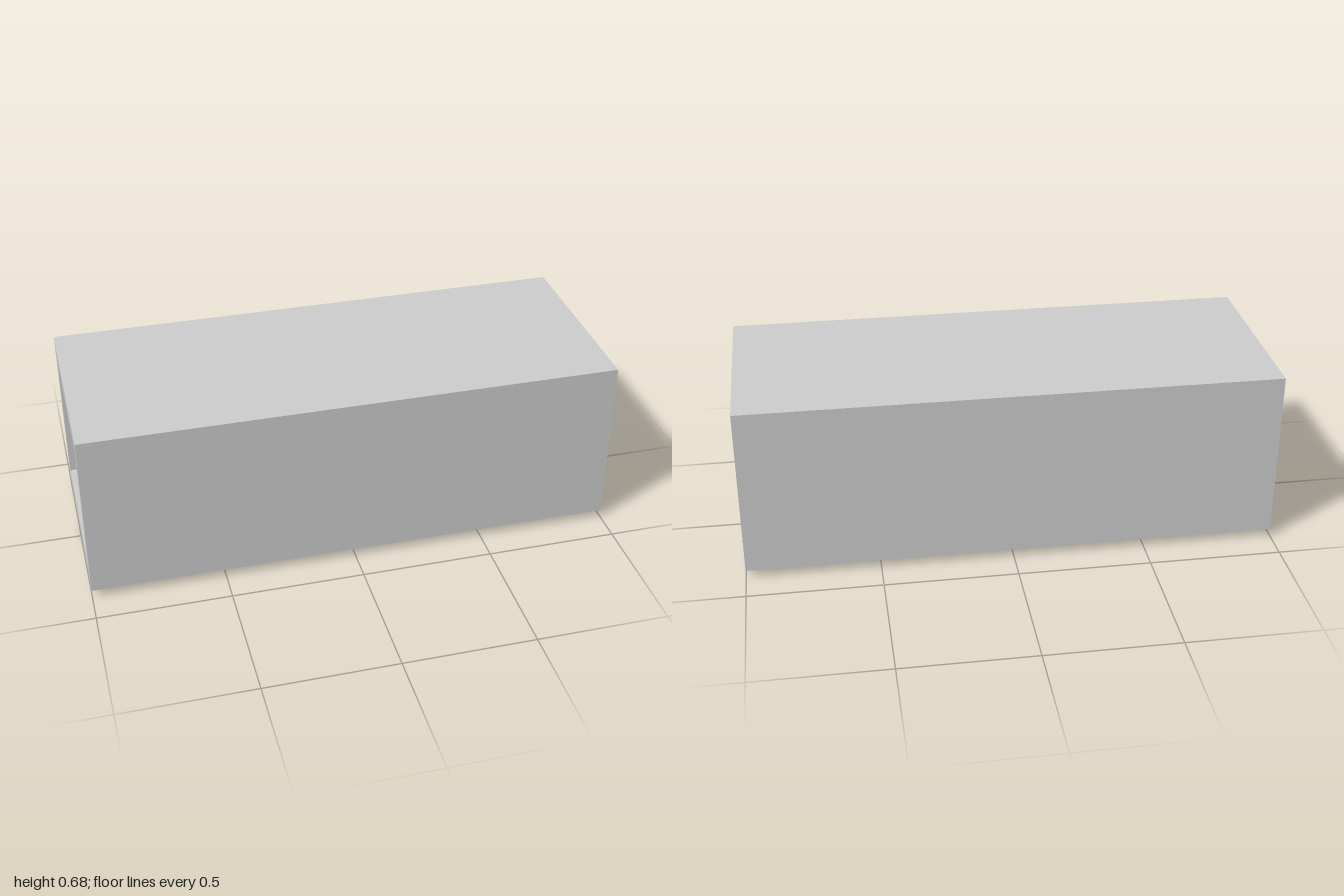
import * as THREE from 'three';

const HALF_Z = 0.38, BOTTOM = 0.03, TOP = 0.676, T = 0.004, LIP = 0.062;
const HEIGHT = TOP - BOTTOM, MID = (TOP + BOTTOM) / 2;
const steel = new THREE.MeshStandardMaterial({ color: 0xcccccc, side: THREE.DoubleSide });

function add(parent, name, geometry, x = 0, y = 0, z = 0) {
  const mesh = new THREE.Mesh(geometry, steel);
  mesh.name = name;
  mesh.position.set(x, y, z);
  parent.add(mesh);
  return mesh;
}
const box = (x, y, z) => new THREE.BoxGeometry(x, y, z);

// Mitred flange: outer edge at v = 0, folded edge at v = LIP
function flange(halfLength) {
  const a = halfLength - T, gap = 0.0015;
  const shape = new THREE.Shape([
    new THREE.Vector2(-a + gap, 0), new THREE.Vector2(a - gap, 0),
    new THREE.Vector2(a - LIP - gap, LIP), new THREE.Vector2(-a + LIP + gap, LIP),
  ]);
  return new THREE.ExtrudeGeometry(shape, { depth: T, bevelEnabled: false });
}

// Frame of four flanges with folded returns; outward is local +z
function endFrame() {
  const frame = new THREE.Group();
  frame.name = 'endFrame';
  for (let i = 0; i < 4; i++) {
    const upright = i % 2 === 1;
    const half = upright ? HEIGHT / 2 : HALF_Z;
    const reach = upright ? HALF_Z : HEIGHT / 2;
    const side = new THREE.Group();
    side.name = 'frameSide';
    side.rotation.z = i * Math.PI / 2;
    add(side, 'flange', flange(half), 0, -reach + T, -T);
    add(side, 'foldedReturn', box(2 * (half - T - LIP), 0.003, LIP), 0, -reach + T + LIP, -T - LIP / 2);
    frame.add(side);
  }
  // Small catch tab hanging below the bottom edge
  const tab = new THREE.Shape();
  const w = 0.065, h = 0.027, r = 0.007;
  tab.moveTo(-w, h);
  tab.lineTo(-w, r);
  tab.quadraticCurveTo(-w, 0, -w + r, 0);
  tab.lineTo(w - r, 0);
  tab.quadraticCurveTo(w, 0, w, r);
  tab.lineTo(w, h);
  add(frame, 'catchTab', new THREE.ExtrudeGeometry(tab, { depth: 0.004, bevelEnabled: false }), 0, 0.005 - MID, -0.01);
  return frame;
}

export function createModel() {
  const model = new THREE.Group();
  model.name = 'sheetMetalCase';

  // Thin outer sleeve
  add(model, 'topPanel', box(2, T, 2 * HALF_Z), 0, TOP - T / 2, 0);
  add(model, 'bottomPanel', box(2, T, 2 * HALF_Z), 0, BOTTOM + T / 2, 0);
  for (const s of [-1, 1])
    add(model, s > 0 ? 'frontPanel' : 'backPanel', box(2, HEIGHT - 2 * T, T), 0, MID, s * (HALF_Z - T / 2));

  // Folded frames at both ends
  for (const s of [-1, 1]) {
    const frame = endFrame();
    frame.position.set(s, MID, 0);
    frame.rotation.y = s * Math.PI / 2;
    model.add(frame);
  }

  // Cover closing the left end, with its bottom hook and top latch
  add(model, 'endCover', box(T, HEIGHT - 2 * (LIP + T) - 0.004, 2 * (HALF_Z - LIP - T) - 0.004), 0.9975, MID, 0);
  add(model, 'coverHook', box(0.004, 0.018, 0.136), 0.9995, 0.041, 0);
  add(model, 'coverLatch', box(0.007, 0.003, 0.136), 0.9965, TOP - 0.001, 0);

  // Tapered feet
  for (const x of [-0.94, 0.94])
    for (const z of [-0.28, 0.28])
      add(model, 'foot', new THREE.CylinderGeometry(0.02, 0.016, BOTTOM, 24), x, BOTTOM / 2, z);

  return model;
}
